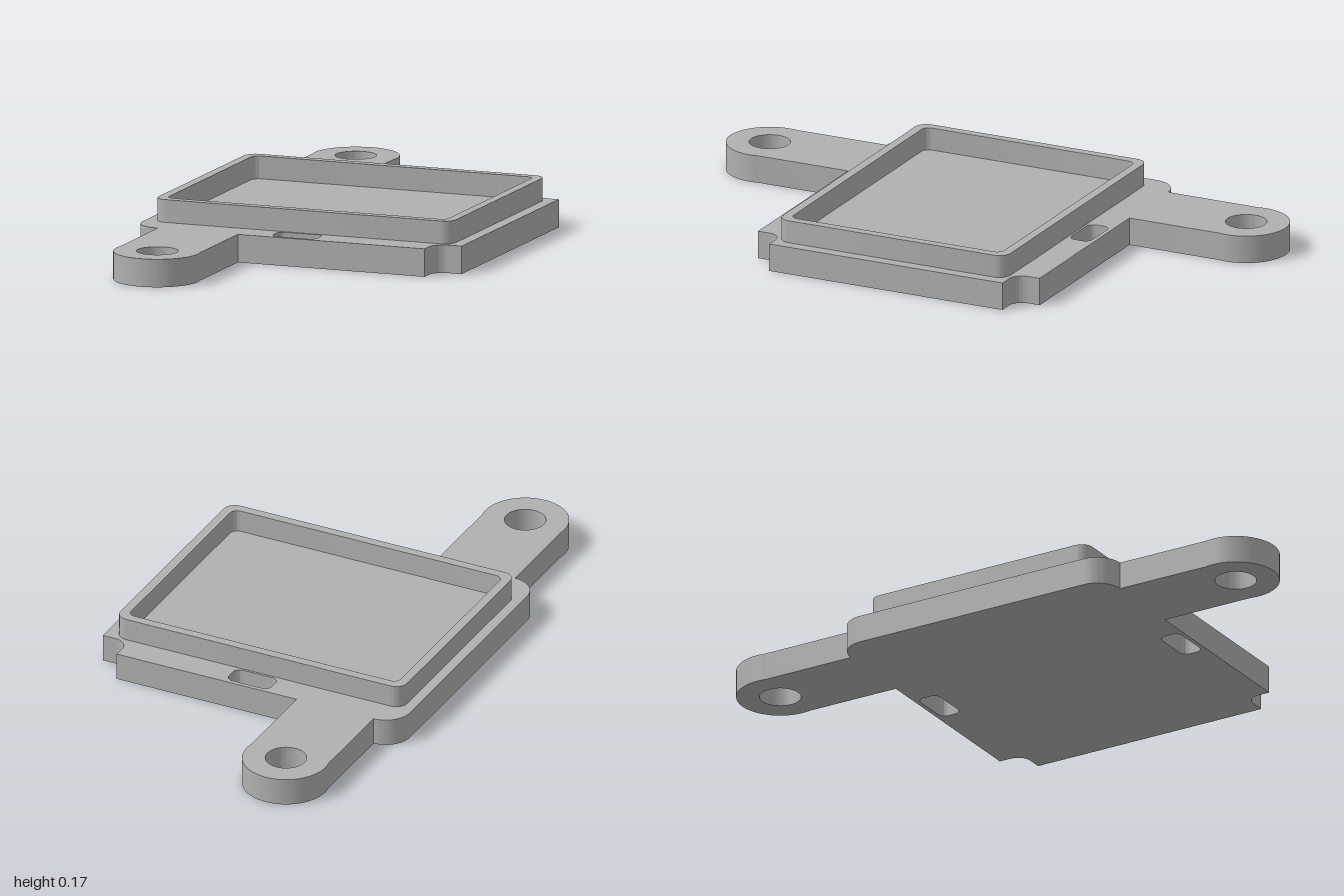
import * as THREE from 'three';
import { toCreasedNormals } from 'three/addons/utils/BufferGeometryUtils.js';

const PLATE_TOP = 0.092, RIM_TOP = 0.167;

// rounded rectangle, drawn as a Shape or as a hole Path
function roundedRect(path, cx, cy, w, h, r) {
  const x = w / 2 - r, y = h / 2 - r;
  path.absarc(cx + x, cy + y, r, 0, Math.PI / 2);
  path.absarc(cx - x, cy + y, r, Math.PI / 2, Math.PI);
  path.absarc(cx - x, cy - y, r, Math.PI, Math.PI * 1.5);
  path.absarc(cx + x, cy - y, r, Math.PI * 1.5, Math.PI * 2);
  path.closePath();
  return path;
}

// extrude a plan outline upwards, with smooth curved walls and sharp edges
function slab(name, shape, bottom, top, material) {
  const geometry = new THREE.ExtrudeGeometry(shape, { depth: top - bottom, bevelEnabled: false, curveSegments: 24 });
  geometry.rotateX(-Math.PI / 2);
  const mesh = new THREE.Mesh(toCreasedNormals(geometry, 0.6), material);
  mesh.name = name;
  mesh.position.y = bottom;
  return mesh;
}

export function createModel() {
  const group = new THREE.Group();
  group.name = 'mountingBracket';
  const grey = new THREE.MeshStandardMaterial({ color: 0xb0b0b0 });
  grey.name = 'grey';

  // half outline: rounded corner, arm with round eye, notched corner
  const eyeX = -0.327, eyeY = 0.858, eyeR = 0.142, armHalf = 0.139;
  const a = Math.acos(armHalf / eyeR);
  const half = new THREE.Path();
  half.moveTo(-0.554, -0.42);
  half.absarc(-0.467, -0.42, 0.087, Math.PI, Math.PI * 1.5);
  half.absarc(eyeX, -eyeY, eyeR, Math.PI - a, Math.PI * 2 + a);
  half.lineTo(eyeX + armHalf, -0.507);
  half.lineTo(0.46, -0.507);
  half.absarc(0.507, -0.467, 0.047, Math.PI, Math.PI / 2, true);
  half.lineTo(0.554, -0.42);
  const points = half.getPoints(32);
  const mirrored = points.map((p) => new THREE.Vector2(p.x, -p.y)).reverse();

  // base plate with arm holes and slots
  const plate = new THREE.Shape([...points, ...mirrored]);
  for (const side of [-1, 1]) {
    plate.holes.push(new THREE.Path().absarc(eyeX, side * eyeY, 0.067, 0, Math.PI * 2));
    plate.holes.push(roundedRect(new THREE.Path(), -0.003, side * 0.455, 0.155, 0.075, 0.025));
  }
  group.add(slab('basePlate', plate, 0, PLATE_TOP, grey));

  // raised rim around the shallow tray
  const rim = roundedRect(new THREE.Shape(), -0.002, 0, 1.034, 0.82, 0.04);
  rim.holes.push(roundedRect(new THREE.Path(), -0.002, 0, 0.972, 0.758, 0.025));
  group.add(slab('trayRim', rim, PLATE_TOP, RIM_TOP, grey));

  return group;
}
